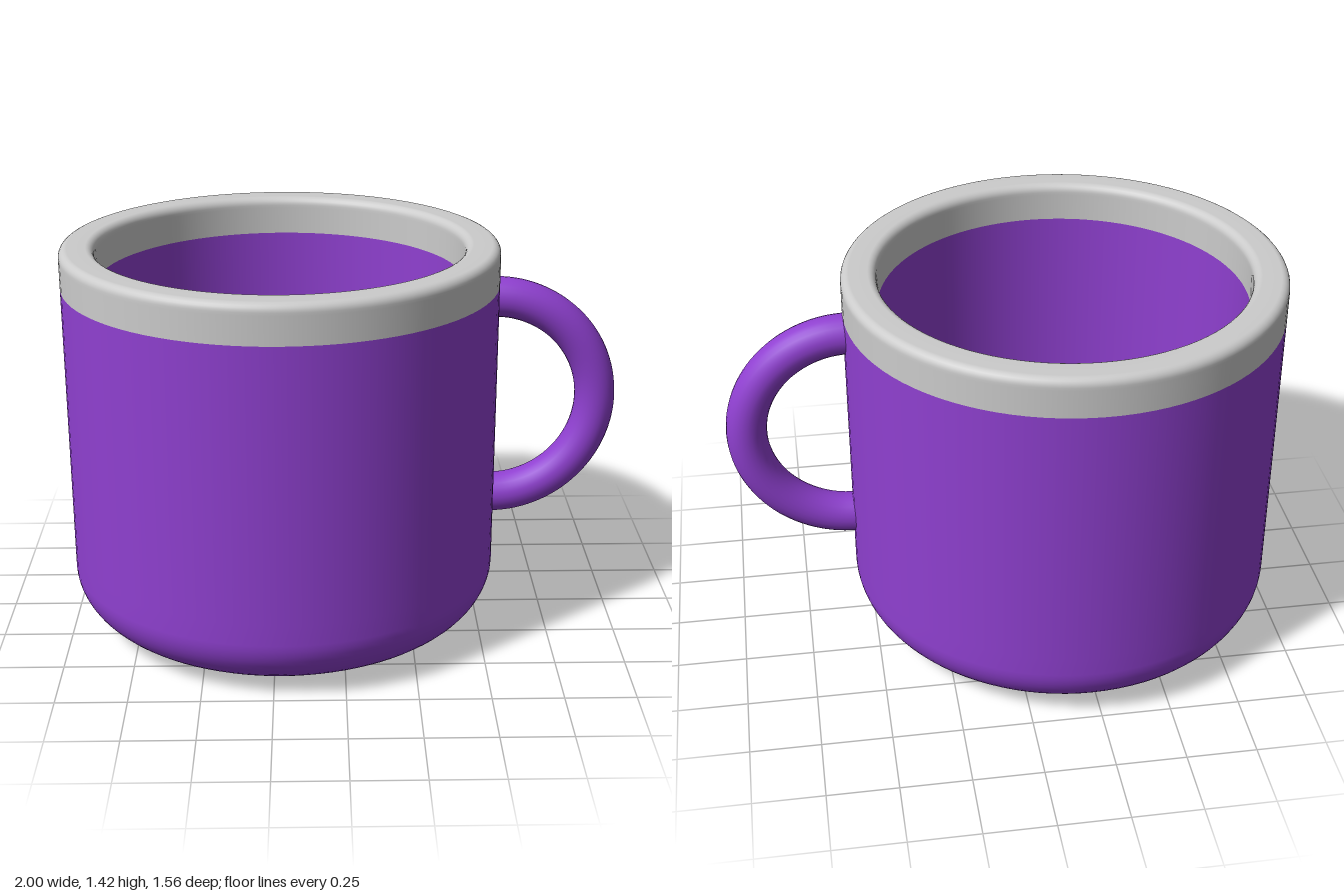
import * as THREE from 'three';

const CX = -0.22;      // axis of the cup
const R = 0.78;        // outer radius
const RI = 0.655;      // inner radius
const SEAM = 1.285;    // where the rim band begins
const TOP = 1.425;

// points on a quarter ellipse between two angles
function arc(cx, cy, rx, ry, from, to, n) {
  const pts = [];
  for (let i = 0; i <= n; i++) {
    const a = from + (to - from) * i / n;
    pts.push(new THREE.Vector2(cx + rx * Math.cos(a), cy + ry * Math.sin(a)));
  }
  return pts;
}

export function createModel() {
  const group = new THREE.Group();
  const purple = new THREE.MeshStandardMaterial({ color: 0x8f40d0 });
  const grey = new THREE.MeshStandardMaterial({ color: 0xcccccc });
  const V = (x, y) => new THREE.Vector2(x, y);
  const H = Math.PI / 2;

  const add = (name, geometry, material, x = 0) => {
    const mesh = new THREE.Mesh(geometry, material);
    mesh.name = name;
    mesh.position.x = x;
    group.add(mesh);
  };

  // outer shell: slightly bulging base, rounded foot, straight wall
  add('outerShell', new THREE.LatheGeometry([
    V(0, 0), V(0.2, 0.003), V(0.4, 0.009),
    ...arc(0.53, 0.225, 0.25, 0.21, -H, 0, 14),
    V(R, 0.3), V(R, SEAM),
  ], 96), purple, CX);

  // inner lining: straight wall, rounded corner, shallow floor
  add('innerLining', new THREE.LatheGeometry([
    V(RI, SEAM), V(RI, 0.4),
    ...arc(0.43, 0.335, 0.225, 0.2, 0, -H, 14),
    V(0.3, 0.13), V(0.15, 0.126), V(0, 0.125),
  ], 96), purple, CX);

  // rim band with softened top edges
  const b = 0.03;
  add('rim', new THREE.LatheGeometry([
    V(R, SEAM), V(R, TOP - b - 0.01),
    ...arc(R - b, TOP - b, b, b, 0, H, 6),
    ...arc(RI + b, TOP - b, b, b, H, 2 * H, 6),
    V(RI, TOP - b - 0.01), V(RI, SEAM),
  ], 96), grey, CX);

  // half-round handle, its ends sunk into the wall
  const path = [
    V(0.49, 0.455),
    ...arc(0.545, 0.835, 0.38, 0.38, -H, H, 16),
    V(0.49, 1.215),
  ].map((p) => new THREE.Vector3(p.x, p.y, 0));
  add('handle', new THREE.TubeGeometry(new THREE.CatmullRomCurve3(path), 64, 0.073, 24), purple);

  return group;
}
